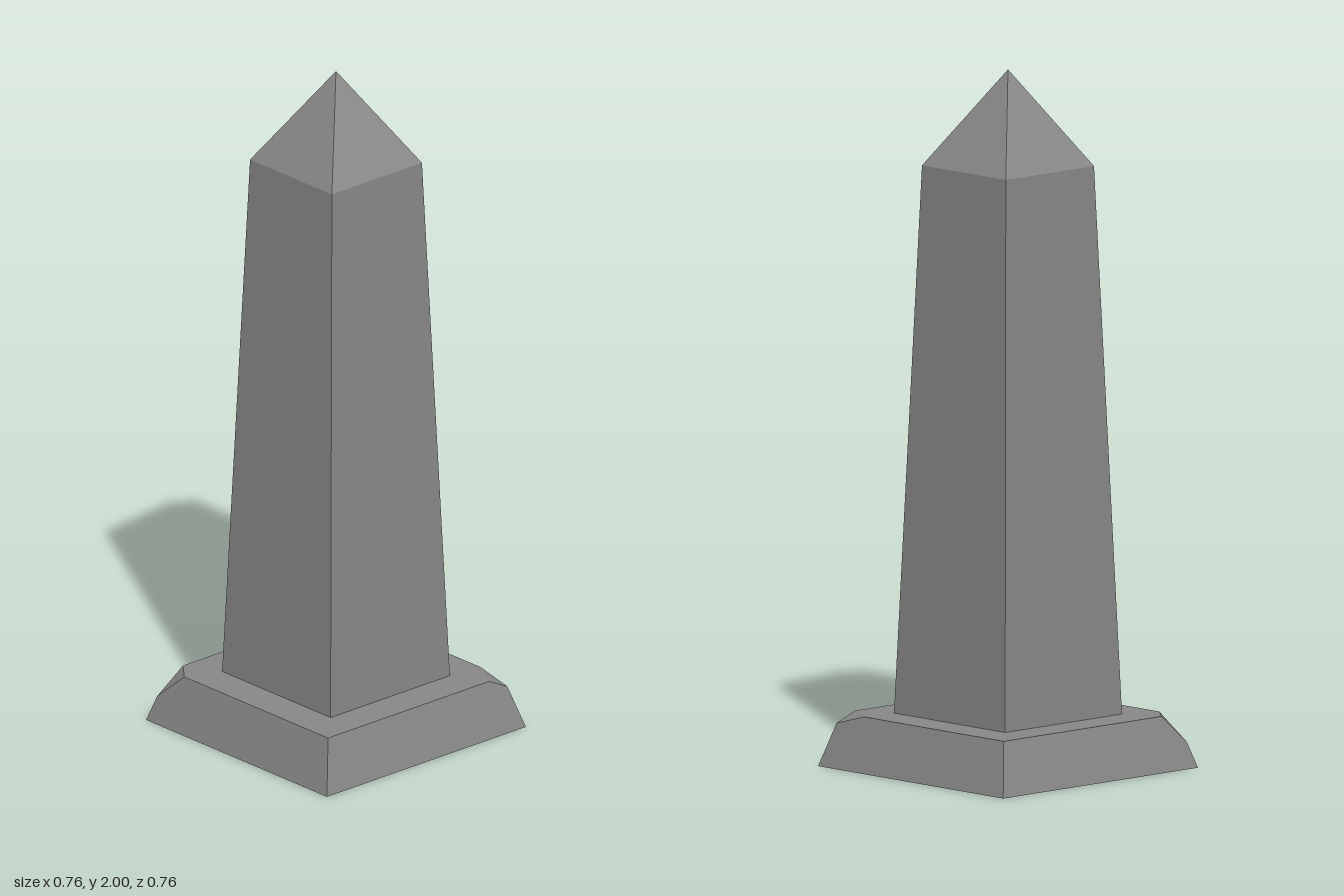
import * as THREE from 'three';

const BASE = 0.38, LEDGE = 0.334, LEDGE_Y = 0.153;
const SHAFT_LOW = 0.228, SHAFT_TOP = 0.172, CAP_Y = 1.724, TIP_Y = 2;

// Dark grey stone
const material = new THREE.MeshStandardMaterial({
  color: 0x878787, flatShading: true, side: THREE.DoubleSide,
});

function part(name, geometry) {
  const mesh = new THREE.Mesh(geometry, material);
  mesh.name = name;
  return mesh;
}

function flat(g) {
  g.computeVertexNormals();
  return g;
}

// Open four-sided taper between two half widths
function taper(low, top, y0, y1) {
  const g = new THREE.CylinderGeometry(top * Math.SQRT2, low * Math.SQRT2, y1 - y0, 4, 1, true);
  g.rotateY(Math.PI / 4);
  g.translate(0, (y0 + y1) / 2, 0);
  return flat(g.toNonIndexed());
}

// Flat polygons (corner lists) cut into triangle fans
function polygons(list) {
  const points = [];
  for (const p of list) {
    for (let i = 1; i < p.length - 1; i++) points.push(p[0], p[i], p[i + 1]);
  }
  return flat(new THREE.BufferGeometry().setFromPoints(points));
}

// Plinth corners anticlockwise from above; two opposite ones are chipped
const corners = [
  { sx: 1, sz: 1, chip: { alongX: 0.053, alongZ: 0.094, edge: 0.343 } },
  { sx: 1, sz: -1 },
  { sx: -1, sz: -1, chip: { alongX: 0.053, alongZ: 0.064, edge: 0.358 } },
  { sx: -1, sz: 1 },
].map(({ sx, sz, chip }) => {
  const at = (h, y) => new THREE.Vector3(sx * h, y, sz * h);
  const bottom = at(BASE, 0), top = at(LEDGE, LEDGE_Y);
  if (!chip) return { bottom, arrive: [top], leave: [top], rim: [top] };
  const edge = at(chip.edge, LEDGE_Y * (BASE - chip.edge) / (BASE - LEDGE));
  const onX = top.clone(), onZ = top.clone();
  onX.x -= sx * chip.alongX;
  onZ.z -= sz * chip.alongZ;
  return { bottom, arrive: [edge, onX], leave: [onZ, edge], rim: [onX, onZ], face: [edge, onZ, onX] };
});

function plinth() {
  const group = new THREE.Group();
  group.name = 'plinth';

  // Sloping walls
  const walls = corners.map((a, i) => {
    const b = corners[(i + 1) % 4];
    return [a.bottom, b.bottom, ...b.arrive, ...a.leave];
  });
  group.add(part('plinthWalls', polygons(walls)));

  // Chipped corners
  group.add(part('chippedCorners', polygons(corners.filter(c => c.face).map(c => c.face))));

  // Ledge around the open foot of the shaft
  const shape = new THREE.Shape(corners.flatMap(c => c.rim).map(p => new THREE.Vector2(p.x, -p.z)));
  const s = SHAFT_LOW;
  shape.holes.push(new THREE.Path([[-s, -s], [-s, s], [s, s], [s, -s]].map(p => new THREE.Vector2(...p))));
  const ledge = new THREE.ShapeGeometry(shape);
  ledge.rotateX(-Math.PI / 2);
  ledge.translate(0, LEDGE_Y, 0);
  group.add(part('ledge', ledge));
  return group;
}

export function createModel() {
  const model = new THREE.Group();
  model.name = 'obelisk';
  model.add(plinth());
  model.add(part('shaft', taper(SHAFT_LOW, SHAFT_TOP, LEDGE_Y, CAP_Y)));
  model.add(part('pointedCap', taper(SHAFT_TOP, 0, CAP_Y, TIP_Y)));
  return model;
}
